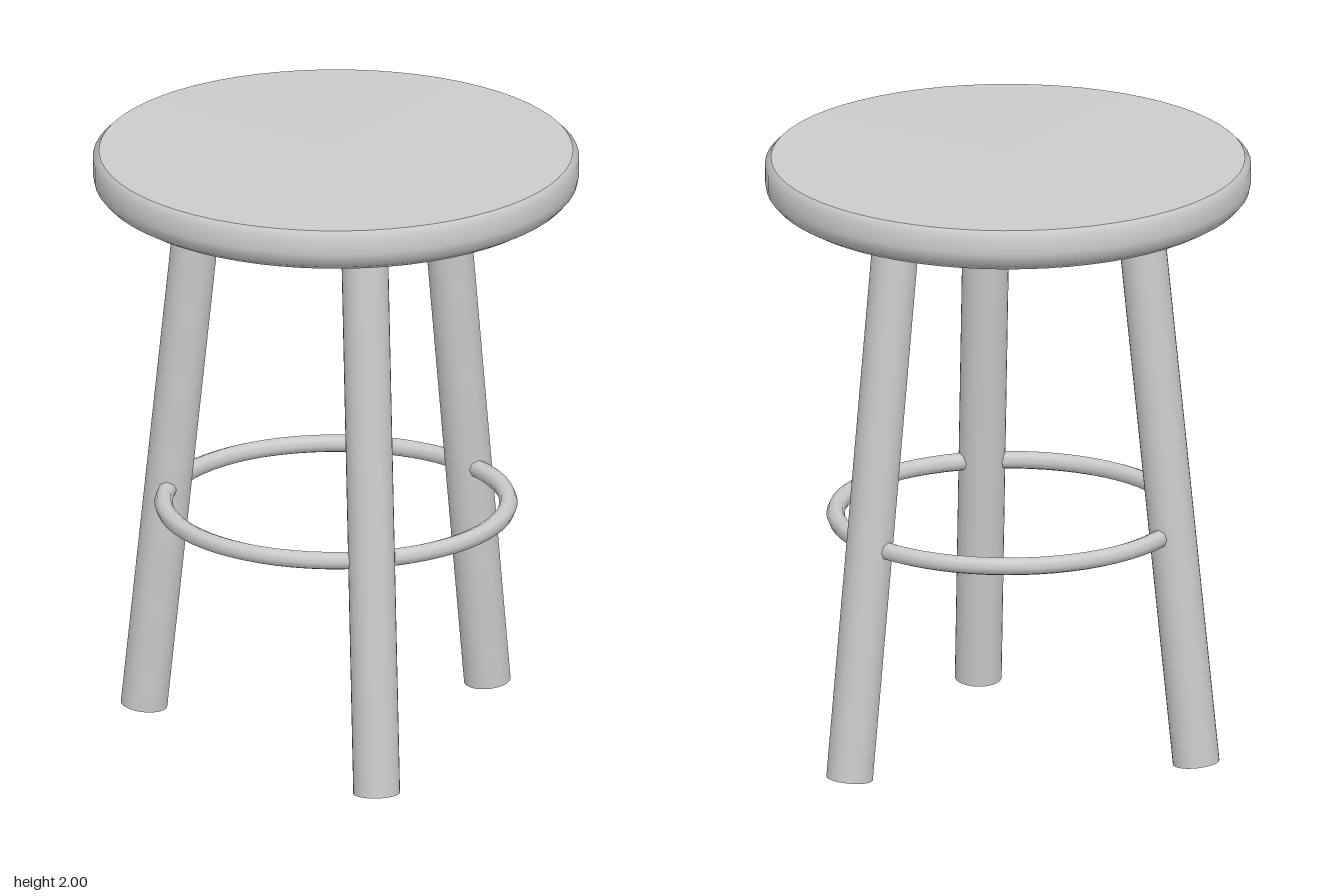
import * as THREE from 'three';
import { mergeGeometries } from 'three/addons/utils/BufferGeometryUtils.js';

const material = new THREE.MeshStandardMaterial({ color: 0xcccccc });

function addMesh(parent, name, geometry) {
  const mesh = new THREE.Mesh(geometry, material);
  mesh.name = name;
  parent.add(mesh);
  return mesh;
}

// Smooth lathe section from [radius, height] pairs, listed bottom to top
function lathe(points) {
  return new THREE.LatheGeometry(points.map(([r, y]) => new THREE.Vector2(r, y)), 64);
}

export function createModel() {
  const stool = new THREE.Group();
  stool.name = 'stool';

  // Seat: separate sections keep the top and bottom edges crisp
  const rim = [[0.73, 1.85], [0.765, 1.87], [0.785, 1.893], [0.79, 1.92], [0.79, 1.975], [0.77, 1.995]];
  addMesh(stool, 'seat', mergeGeometries([
    lathe([[0, 1.85], rim[0]]),
    lathe(rim),
    lathe([rim[rim.length - 1], [0, 2]]),
  ]));

  // Three splayed legs, ends cut square to the leg
  const foot = new THREE.Vector3(0.657, 0.008, 0);
  const head = new THREE.Vector3(0.455, 1.9, 0);
  const axis = head.clone().sub(foot);
  const legGeometry = new THREE.CylinderGeometry(0.076, 0.076, axis.length(), 32);
  legGeometry.applyQuaternion(new THREE.Quaternion().setFromUnitVectors(
    new THREE.Vector3(0, 1, 0), axis.clone().normalize()));
  const middle = foot.clone().add(head).multiplyScalar(0.5);
  legGeometry.translate(middle.x, middle.y, middle.z);
  ['leftLeg', 'backRightLeg', 'frontRightLeg'].forEach((name, i) => {
    addMesh(stool, name, legGeometry).rotation.y = (i * Math.PI * 2) / 3;
  });

  // Foot ring running through the legs
  const ring = addMesh(stool, 'footRing', new THREE.TorusGeometry(0.56, 0.03, 8, 64));
  ring.rotation.x = Math.PI / 2;
  ring.position.y = 0.78;

  return stool;
}
